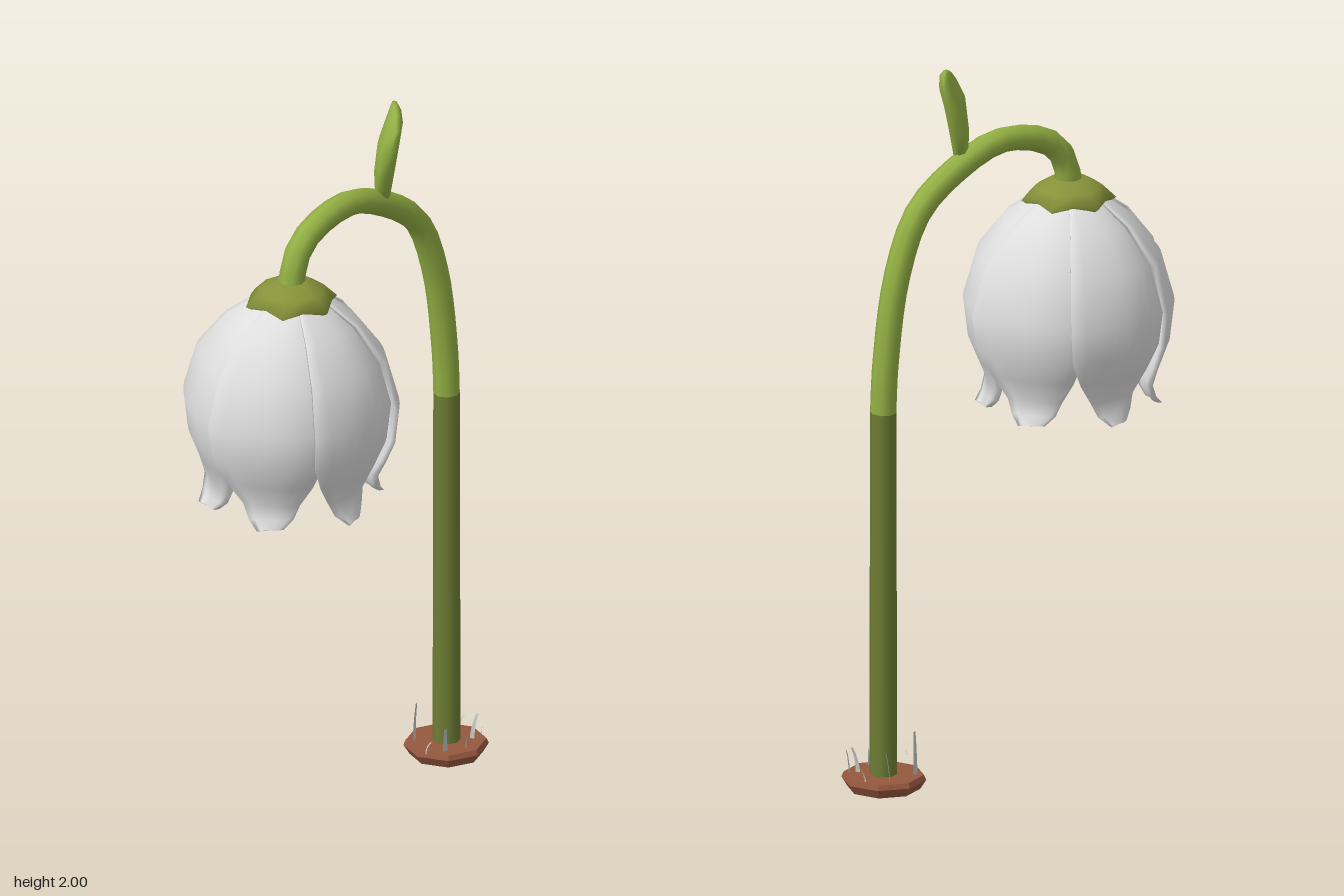
import * as THREE from 'three';

const mat = (name, color, side = THREE.FrontSide) => {
  const m = new THREE.MeshStandardMaterial({ color, side });
  m.name = name;
  return m;
};

// Closed skin over a list of rings (each a list of Vector3), capped at both ends
function loft(rings) {
  const n = rings[0].length, index = [];
  for (let i = 0; i < rings.length - 1; i++) {
    for (let j = 0; j < n; j++) {
      const a = i * n + j, b = i * n + (j + 1) % n;
      index.push(a, b, b + n, a, b + n, a + n);
    }
  }
  const last = (rings.length - 1) * n;
  for (let j = 1; j < n - 1; j++) {
    index.push(0, j + 1, j, last, last + j, last + j + 1);
  }
  const g = new THREE.BufferGeometry().setFromPoints(rings.flat());
  g.setIndex(index);
  g.computeVertexNormals();
  return g;
}

export function createModel() {
  const group = new THREE.Group();
  const darkGreen = mat('dark stem green', 0x6f7d34);
  const lightGreen = mat('light stem green', 0x93b044);
  const olive = mat('calyx olive', 0x86923a);
  const white = mat('petal white', 0xdedede, THREE.DoubleSide);
  const yellow = mat('bulb yellow', 0xa8a045);
  const brown = mat('soil brown', 0x96583f);
  const grey = mat('blade grey', 0xc4c8c8, THREE.DoubleSide);

  const add = (name, geometry, material, x = 0, y = 0, z = 0, parent = group) => {
    const m = new THREE.Mesh(geometry, material);
    m.name = name;
    m.position.set(x, y, z);
    parent.add(m);
    return m;
  };

  // Soil disc with bevelled underside
  const disc = new THREE.CylinderGeometry(0.11, 0.116, 0.014, 8).toNonIndexed();
  disc.computeVertexNormals();
  add('soilTop', disc, brown, 0.41, 0.033, 0);
  const under = new THREE.CylinderGeometry(0.116, 0.1, 0.026, 8).toNonIndexed();
  under.computeVertexNormals();
  add('soilBottom', under, brown, 0.41, 0.013, 0);

  // Straight lower stem and arched upper stem
  add('lowerStem', new THREE.CylinderGeometry(0.036, 0.038, 1.04, 8), darkGreen, 0.412, 0.55, 0);
  const arch = new THREE.CatmullRomCurve3([
    [0.412, 1.07], [0.405, 1.2], [0.365, 1.45], [0.29, 1.62], [0.15, 1.72],
    [0.01, 1.766], [-0.14, 1.735], [-0.2, 1.68], [-0.225, 1.58],
  ].map(([x, y]) => new THREE.Vector3(x, y, 0)));
  add('upperStem', new THREE.TubeGeometry(arch, 22, 0.036, 8), lightGreen);

  // Leaf: flattened cross-sections [x, y, z, half width, half thickness]
  const leafRings = [
    [0.14, 1.745, 0.01, 0.02, 0.02], [0.145, 1.82, 0.012, 0.05, 0.028],
    [0.155, 1.9, 0.018, 0.075, 0.03], [0.178, 1.955, 0.018, 0.068, 0.024],
    [0.192, 1.985, 0.01, 0.045, 0.016], [0.2, 2.0, 0.0, 0.018, 0.008],
  ].map(([x, y, z, w, t]) => Array.from({ length: 8 }, (_, j) => {
    const a = j * Math.PI / 4, u = w * Math.cos(a) * 0.707, v = t * Math.sin(a) * 0.707;
    return new THREE.Vector3(x + u - v, y, z - u - v);
  }));
  add('leaf', loft(leafRings), lightGreen);

  // Hanging flower
  const flower = new THREE.Group();
  flower.name = 'flower';
  flower.position.x = -0.22;
  group.add(flower);

  // Petal rows: [height, radius, half angle in degrees]
  const rows = [
    [1.58, 0.06, 34], [1.55, 0.11, 34], [1.5, 0.175, 34], [1.4, 0.25, 34], [1.27, 0.286, 34],
    [1.17, 0.274, 33], [1.1, 0.245, 28], [1.04, 0.22, 20], [1.0, 0.226, 15], [0.975, 0.238, 8],
  ];
  const steps = 8, thick = 0.014;
  const petalRings = rows.map(([y, r, half]) => {
    const at = (k, inset) => {
      const u = k / steps * 2 - 1;
      const angle = (u * half + 2) * Math.PI / 180;
      // One edge laps over its neighbour, the other tucks under
      const lap = (u > 0 ? 0.02 * u * u : -0.012 * u * u) * r / 0.286;
      return new THREE.Vector3((r + lap - inset) * Math.cos(angle), y, (r + lap - inset) * Math.sin(angle));
    };
    const ring = [];
    for (let k = 0; k <= steps; k++) ring.push(at(k, 0));
    for (let k = steps; k >= 0; k--) ring.push(at(k, thick));
    return ring;
  });
  const petalGeometry = loft(petalRings);
  for (let i = 0; i < 6; i++) {
    add('petal', petalGeometry, white, 0, 0, 0, flower).rotation.y = (30 + i * 60) * Math.PI / 180;
  }

  // Inner bulb
  add('bulb', new THREE.SphereGeometry(0.14, 12, 8), yellow, 0, 1.25, 0, flower).scale.y = 1.35;

  // Six-pointed calyx cap
  const capRings = [[1.535, 0.1, 0.09], [1.553, 0.13, 0.112], [1.59, 0.092, 0.088], [1.613, 0.05, 0.05]]
    .map(([y, tip, dip], i) => Array.from({ length: 12 }, (_, j) => {
      const a = j * Math.PI / 6, r = j % 2 ? dip : tip;
      return new THREE.Vector3(r * Math.sin(a), y + (i < 2 && j % 2 ? 0.012 : 0), r * Math.cos(a));
    }));
  add('calyx', loft(capRings), olive, 0, 0, 0, flower);

  // Thin curved blades: [x, z, height, width, turn]
  const blades = [
    [0.348, -0.06, 0.12, 0.02, 0.3], [0.35, 0.05, 0.075, 0.02, 0], [0.305, 0.02, 0.04, 0.01, 1],
    [0.44, -0.065, 0.08, 0.015, 0.8], [0.46, 0.05, 0.075, 0.014, 2], [0.478, 0.065, 0.06, 0.012, 0.6],
    [0.495, -0.03, 0.04, 0.01, 1.4], [0.4, 0.08, 0.045, 0.01, 0.2],
  ];
  for (const [x, z, h, w, turn] of blades) {
    const g = new THREE.PlaneGeometry(w, h, 1, 4);
    const p = g.attributes.position;
    for (let i = 0; i < p.count; i++) {
      const t = p.getY(i) / h + 0.5;
      p.setX(i, p.getX(i) * (1 - 0.5 * t) - 0.012 * t * t);
      p.setZ(i, 0.012 * t * t);
    }
    g.computeVertexNormals();
    add('blade', g, grey, x, 0.036 + h / 2, z).rotation.y = turn;
  }

  return group;
}
